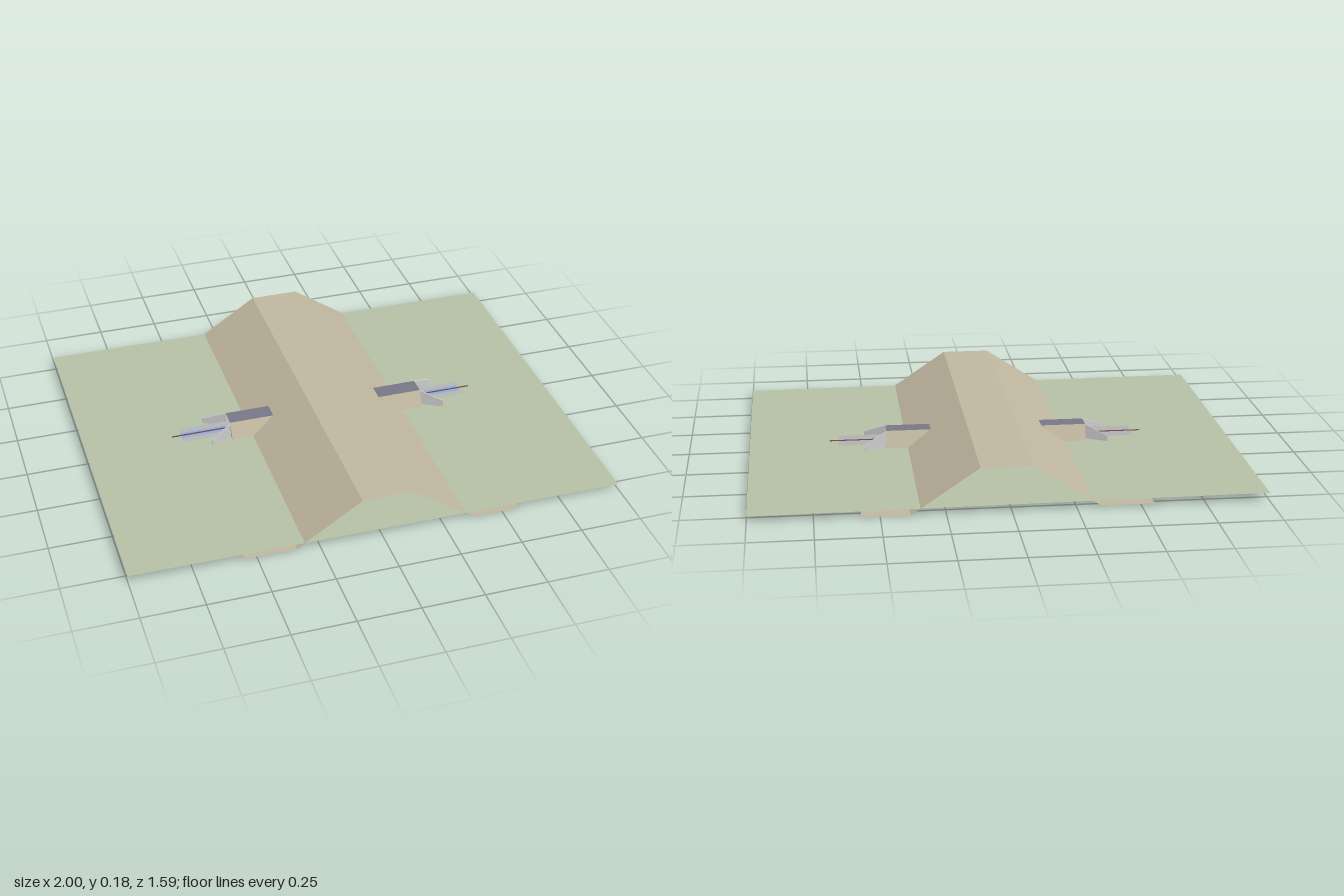
import * as THREE from 'three';

const ZC = -0.022;   // culvert axis
const HW = 0.037;    // half width of the barrel
const TOP = 0.092;   // top of the barrel

const mat = (color) => new THREE.MeshStandardMaterial({ color, side: THREE.DoubleSide, flatShading: true });
const grass = mat(0xb4c0a4), earth = mat(0xc0b69e), concrete = mat(0xcccccc);
const slab = mat(0x777785), water = mat(0x8fadd4), lineMat = mat(0x7a4a50);

// Ruled sheet between two polylines with the same number of points
function sheet(name, a, b, material) {
  const pos = [];
  for (let i = 0; i < a.length - 1; i++) {
    pos.push(...a[i], ...b[i], ...b[i + 1], ...a[i], ...b[i + 1], ...a[i + 1]);
  }
  const g = new THREE.BufferGeometry();
  g.setAttribute('position', new THREE.Float32BufferAttribute(pos, 3));
  g.computeVertexNormals();
  const m = new THREE.Mesh(g, material);
  m.name = name;
  return m;
}

// Sheet with a profile in x, y swept from z0 to z1
function sweep(name, profile, z0, z1, material) {
  return sheet(name, profile.map(([x, y]) => [x, y, z0]), profile.map(([x, y]) => [x, y, z1]), material);
}

// Culvert mouth: side fills, wing walls and open channel; s is the outward direction
function culvertEnd(name, s, xEnd, xCrest, xToe, xChannel, base) {
  const g = new THREE.Group();
  g.name = name;
  for (const side of [-1, 1]) {
    const z = (d) => ZC + side * d;

    // Fill beside the barrel, rounded where it runs into the bank
    const crest = [[xEnd, TOP, z(HW)], [xCrest, TOP, z(HW)]];
    const toe = [[xEnd, base, z(0.08)], [xToe, base, z(0.08)]];
    for (let i = 1; i <= 5; i++) {
      const t = (i / 5) * Math.PI / 2;
      crest.push([xCrest, TOP, z(HW)]);
      toe.push([xToe - s * 0.05 * Math.sin(t), base, z(HW + 0.043 * Math.cos(t))]);
    }
    g.add(sheet('sideFill', crest, toe, earth));
    g.add(sheet('fillEnd',
      [[xEnd, TOP, z(HW)], [xEnd, base, z(HW)]],
      [[xEnd, TOP, z(HW)], [xEnd, base, z(0.08)]], concrete));

    // Flared wing wall with a sloping top
    const xw = xEnd + s * 0.088;
    const inner = HW - 0.002, outer = 0.083, th = 0.008;
    const ring = (x, y0, y1, d) => [
      [x, y0, z(d)], [x, y1, z(d)], [x, y1, z(d + th)], [x, y0, z(d + th)], [x, y0, z(d)],
    ];
    g.add(sheet('wingWall', ring(xEnd, base + 0.01, TOP, inner), ring(xw, base + 0.01, 0.053, outer), concrete));
    g.add(sheet('wingWallTip',
      [[xw, base + 0.01, z(outer)], [xw, 0.053, z(outer)]],
      [[xw, base + 0.01, z(outer + th)], [xw, 0.053, z(outer + th)]], concrete));

    // Channel side
    g.add(sheet('channelWall',
      [[xEnd, 0.034, z(0.034)], [xChannel, 0.034, z(0.034)]],
      [[xEnd, 0.054, z(0.034)], [xChannel, 0.054, z(0.034)]], concrete));
  }
  g.add(sweep('channelFloor', [[xEnd, 0.034], [xChannel, 0.034]], ZC - 0.034, ZC + 0.034, water));

  // Thin flow line along the channel
  const x1 = xChannel + s * 0.04;
  const flow = new THREE.Mesh(new THREE.BoxGeometry(Math.abs(x1 - xEnd), 0.003, 0.005), lineMat);
  flow.position.set((xEnd + x1) / 2, 0.045, ZC);
  flow.name = 'flowLine';
  g.add(flow);
  return g;
}

export function createModel() {
  const model = new THREE.Group();
  model.name = 'roadCulvert';

  // Gently sloping ground
  model.add(sweep('ground', [[-1, 0.033], [1, 0.022]], -0.795, 0.795, grass));

  // Road embankment with toes below ground
  model.add(sweep('embankment', [
    [-0.55, 0.009], [-0.342, 0.009], [-0.08, 0.18], [0.12, 0.18], [0.385, 0], [0.57, 0],
  ], -0.795, 0.795, earth));

  // Open box barrel
  const xa = -0.4, xb = 0.435;
  model.add(sweep('barrelTop', [[xa, TOP], [xb, TOP]], ZC - HW, ZC + HW, slab));
  model.add(sweep('barrelFloor', [[xa, 0.02], [xb, 0.016]], ZC - HW, ZC + HW, slab));
  for (const z of [ZC - HW, ZC + HW]) {
    model.add(sheet('barrelWall', [[xa, 0.02, z], [xb, 0.016, z]], [[xa, TOP, z], [xb, TOP, z]], concrete));
  }

  model.add(culvertEnd('inlet', -1, xa, -0.22, -0.33, -0.6, 0.01));
  model.add(culvertEnd('outlet', 1, xb, 0.255, 0.365, 0.63, 0.003));
  return model;
}
